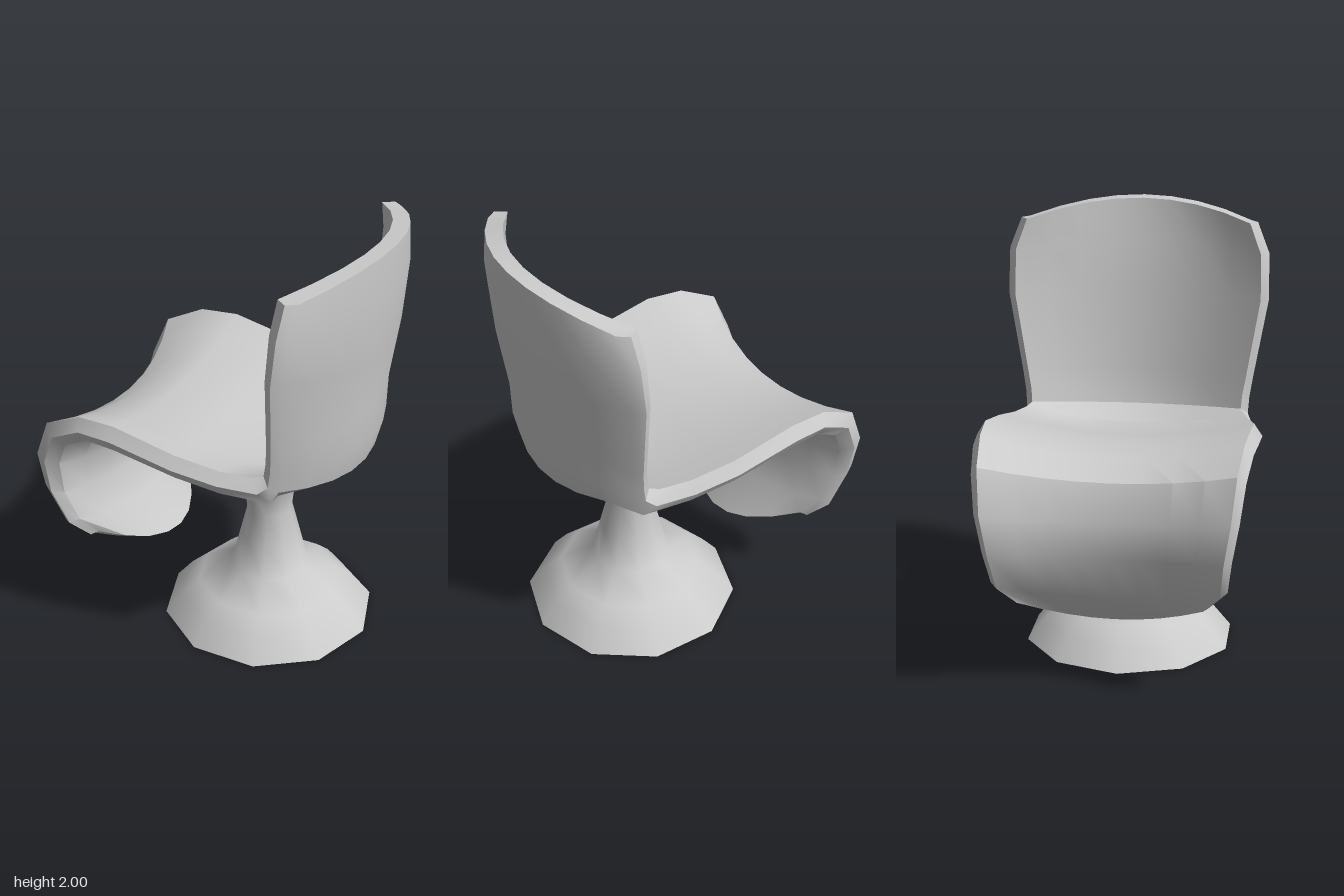
import * as THREE from 'three';
import { toCreasedNormals } from 'three/addons/utils/BufferGeometryUtils.js';

const material = new THREE.MeshStandardMaterial({ color: 0xcccccc });

// Shell stations from the front lip, over the seat, up to the top of the back:
// rim sitting side, rim underside, middle sitting side, middle underside (x, y each), half width
const STATIONS = [
  [-0.56, 0.42, -0.51, 0.44, -0.38, 0.29, -0.3, 0.305, 0.43],
  [-0.63, 0.51, -0.56, 0.54, -0.53, 0.45, -0.44, 0.5, 0.51],
  [-0.72, 0.69, -0.62, 0.68, -0.6, 0.65, -0.5, 0.65, 0.53],
  [-0.735, 0.87, -0.62, 0.85, -0.625, 0.82, -0.5, 0.79, 0.56],
  [-0.66, 1.06, -0.57, 0.97, -0.56, 0.98, -0.435, 0.92, 0.58],
  [-0.48, 1.15, -0.45, 1.04, -0.44, 1.05, -0.33, 0.96, 0.6],
  [-0.3, 1.16, -0.3, 1.04, -0.29, 1.075, -0.2, 0.965, 0.615],
  [0, 1.1, 0, 0.99, 0, 1.03, -0.02, 0.925, 0.615],
  [0.2, 1.06, 0.2, 0.95, 0.22, 0.975, 0.17, 0.875, 0.58],
  [0.33, 1.05, 0.42, 0.945, 0.44, 0.96, 0.36, 0.845, 0.545],
  [0.38, 1.06, 0.45, 1.0, 0.53, 1.03, 0.635, 0.945, 0.525],
  [0.39, 1.12, 0.465, 1.09, 0.545, 1.1, 0.67, 1.08, 0.53],
  [0.4, 1.2, 0.475, 1.2, 0.56, 1.2, 0.67, 1.25, 0.545],
  [0.42, 1.57, 0.505, 1.57, 0.59, 1.57, 0.705, 1.5, 0.61],
  [0.435, 1.78, 0.53, 1.78, 0.625, 1.8, 0.73, 1.8, 0.605],
  [0.445, 1.92, 0.54, 1.92, 0.655, 1.995, 0.73, 2.0, 0.55],
];

const ACROSS = 8;              // strips across the shell
const RING = 2 * ACROSS + 4;   // both faces plus one ridge point per side
const INSET = 0.94;            // faces stop here, the ridge reaches the full width

// Closed cross-section: dished sitting side, ridge, dished underside, ridge
function shellRing([rx, ry, sx, sy, cx, cy, dx, dy, w]) {
  const face = (ex, ey, mx, my, u) =>
    [mx + (ex - mx) * u * u, my + (ey - my) * u * u, u * w * INSET];
  const ring = [];
  for (let i = 0; i <= ACROSS; i++) ring.push(face(rx, ry, cx, cy, 2 * i / ACROSS - 1));
  ring.push([(rx + sx) / 2, (ry + sy) / 2, w]);
  for (let i = ACROSS; i >= 0; i--) ring.push(face(sx, sy, dx, dy, 2 * i / ACROSS - 1));
  ring.push([(rx + sx) / 2, (ry + sy) / 2, -w]);
  return ring;
}

function shellGeometry() {
  const positions = STATIONS.flatMap((s) => shellRing(s).flat());
  const index = [];
  for (let s = 0; s < STATIONS.length - 1; s++) {
    for (let i = 0; i < RING; i++) {
      const j = (i + 1) % RING;
      const a = s * RING + i, c = s * RING + j;
      index.push(a, c, a + RING, c, c + RING, a + RING);
    }
  }
  // Ends of the shell
  const last = RING * (STATIONS.length - 1);
  const cap = (a, b, c) => {
    index.push(c, b, a, last + a, last + b, last + c);
  };
  const low = 2 * ACROSS + 2;
  for (let i = 0; i < ACROSS; i++) {
    cap(i, i + 1, low - i - 1);
    cap(i, low - i - 1, low - i);
  }
  cap(ACROSS, ACROSS + 1, ACROSS + 2);
  cap(low, low + 1, 0);

  const geometry = new THREE.BufferGeometry();
  geometry.setAttribute('position', new THREE.Float32BufferAttribute(positions, 3));
  geometry.setIndex(index);
  return toCreasedNormals(geometry, 0.65);
}

export function createModel() {
  const chair = new THREE.Group();
  chair.name = 'pedestalChair';
  const add = (name, geometry, parent = chair) => {
    const mesh = new THREE.Mesh(geometry, material);
    mesh.name = name;
    parent.add(mesh);
    return mesh;
  };

  // One-piece seat and back
  add('seatShell', shellGeometry());

  // Ten-sided flared pedestal under the rear of the seat
  const pedestal = new THREE.Group();
  pedestal.name = 'pedestal';
  pedestal.position.x = 0.17;
  chair.add(pedestal);
  const profile = [
    [0.49, 0], [0.41, 0.1], [0.33, 0.17], [0.18, 0.255], [0.14, 0.42],
    [0.105, 0.56], [0.12, 0.7], [0.185, 0.85], [0.22, 0.905],
  ].map(([r, y]) => new THREE.Vector2(r, y));
  add('stemAndFoot', new THREE.LatheGeometry(profile, 10, Math.PI / 2), pedestal);
  add('footUnderside', new THREE.CircleGeometry(0.49, 10), pedestal).rotation.x = Math.PI / 2;

  return chair;
}
